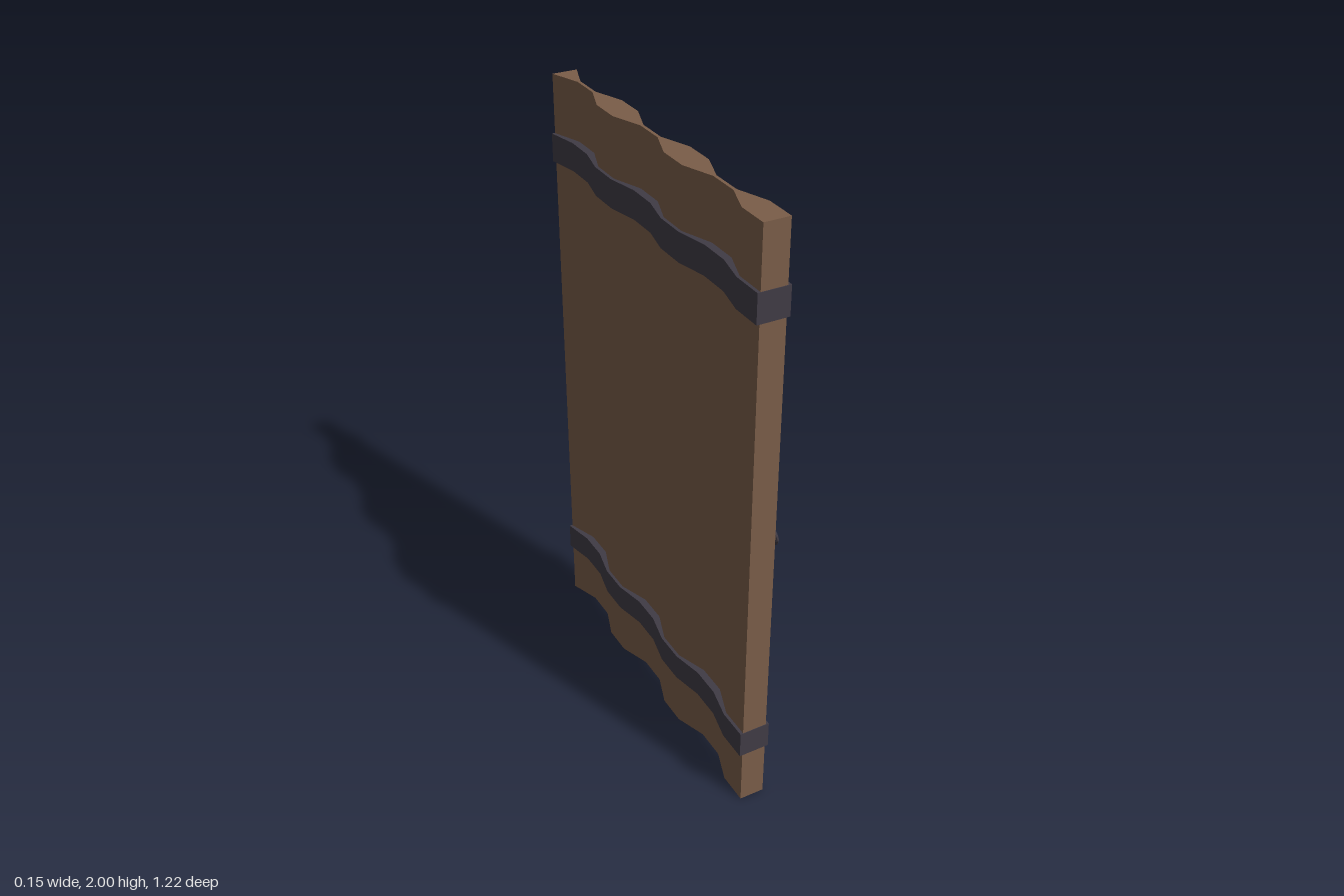
import * as THREE from 'three';

const wood = new THREE.MeshStandardMaterial({ color: 0x7a5d48, flatShading: true });
const iron = new THREE.MeshStandardMaterial({ color: 0x403b45, flatShading: true });
const CENTER_X = -0.025;
const STEPS = 12;

// Wavy plan outline (two wide points, then two narrow points) extruded upwards
function wavySlab(wide, narrow, halfLength, y0, y1) {
  const side = [];
  for (let i = 0; i <= STEPS; i++) {
    const isWide = [0, 3].includes(i % 4) ;
    side.push([isWide ? wide : narrow, -halfLength + (2 * halfLength * i) / STEPS]);
  }
  // the far end begins on a wide point and the near end closes on one
  side[STEPS][0] = wide;
  const points = [
    ...side.map(([w, z]) => new THREE.Vector2(CENTER_X + w, -z)),
    ...side.slice().reverse().map(([w, z]) => new THREE.Vector2(CENTER_X - w, -z)),
  ];
  const geo = new THREE.ExtrudeGeometry(new THREE.Shape(points), { depth: y1 - y0, bevelEnabled: false });
  return geo.rotateX(-Math.PI / 2).translate(0, y0, 0);
}

export function createModel() {
  const group = new THREE.Group();
  group.name = 'door';
  const add = (name, geo, material, parent = group) => {
    const mesh = new THREE.Mesh(geo, material);
    mesh.name = name;
    parent.add(mesh);
    return mesh;
  };

  // Corrugated wooden panel
  add('panel', wavySlab(0.041, 0.005, 0.61, 0, 2), wood);

  // Iron bands wrapping the panel
  add('lowerBand', wavySlab(0.051, 0.029, 0.612, 0.195, 0.287), iron);
  add('upperBand', wavySlab(0.051, 0.029, 0.612, 1.718, 1.81), iron);

  // Handle: square plate with a hanging ring tilted outwards at the bottom
  const handle = new THREE.Group();
  handle.name = 'handle';
  handle.position.set(0, 0.973, 0.503);
  group.add(handle);
  add('handlePlate', new THREE.BoxGeometry(0.02, 0.143, 0.143), iron, handle).position.x = 0.02;
  const ringGeo = new THREE.TorusGeometry(0.056, 0.011, 6, 20);
  ringGeo.scale(1, 1, 0.8).rotateY(Math.PI / 2).rotateZ(0.33);
  add('handleRing', ringGeo, iron, handle).position.x = 0.048;

  return group;
}
